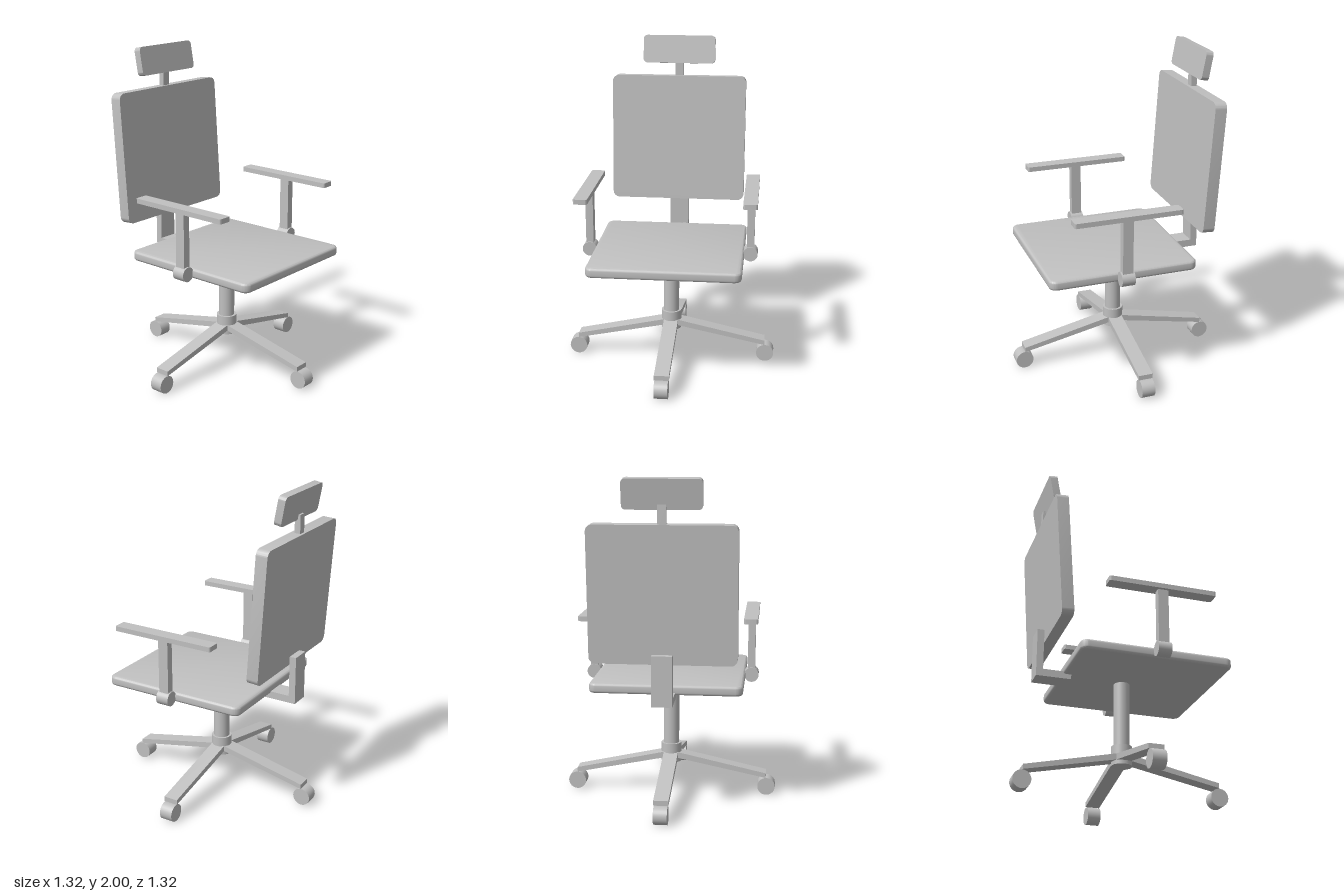
import * as THREE from 'three';
import { toCreasedNormals } from 'three/addons/utils/BufferGeometryUtils.js';

const grey = new THREE.MeshStandardMaterial({ color: 0xc0c0c0 });
grey.name = 'plain grey';

function add(parent, name, geometry, x = 0, y = 0, z = 0) {
  const mesh = new THREE.Mesh(geometry, grey);
  mesh.name = name;
  mesh.position.set(x, y, z);
  parent.add(mesh);
  return mesh;
}

// Slab with rounded corners in xy, thickness centred on z, optional soft rim
function slab(w, h, depth, radius, bevel = 0) {
  const x = w / 2 - bevel, y = h / 2 - bevel, r = radius - bevel;
  const s = new THREE.Shape();
  s.moveTo(-x + r, -y);
  s.lineTo(x - r, -y);
  s.absarc(x - r, -y + r, r, -Math.PI / 2, 0);
  s.absarc(x - r, y - r, r, 0, Math.PI / 2);
  s.absarc(-x + r, y - r, r, Math.PI / 2, Math.PI);
  s.absarc(-x + r, -y + r, r, Math.PI, Math.PI * 1.5);
  const g = new THREE.ExtrudeGeometry(s, {
    depth: depth - 2 * bevel, curveSegments: 8, bevelEnabled: bevel > 0,
    bevelSize: bevel, bevelThickness: bevel, bevelSegments: 4,
  });
  g.translate(0, 0, -depth / 2 + bevel);
  return toCreasedNormals(g, 0.6);
}

// Side profile in xy, extruded symmetrically about z
function profile(points, width) {
  const s = new THREE.Shape(points.map(([x, y]) => new THREE.Vector2(x, y)));
  return new THREE.ExtrudeGeometry(s, { depth: width, bevelEnabled: false })
    .translate(0, 0, -width / 2);
}

export function createModel() {
  const chair = new THREE.Group();
  chair.name = 'officeChair';

  // Four-legged base with casters
  const base = new THREE.Group();
  base.name = 'base';
  chair.add(base);
  const legShape = profile([[0, 0.235], [0.6, 0.113], [0.6, 0.143], [0, 0.273]], 0.09);
  const wheel = new THREE.CylinderGeometry(0.055, 0.055, 0.082, 32).rotateX(Math.PI / 2);
  for (let i = 0; i < 4; i++) {
    const arm = new THREE.Group();
    arm.name = 'leg' + (i + 1);
    arm.rotation.y = i * Math.PI / 2;
    base.add(arm);
    add(arm, 'legBeam', legShape);
    add(arm, 'caster', wheel, 0.603, 0.056, 0);
  }
  add(base, 'hub', new THREE.CylinderGeometry(0.063, 0.063, 0.12, 32), 0, 0.26, 0);
  add(base, 'column', new THREE.CylinderGeometry(0.049, 0.049, 0.43, 32), 0, 0.515, 0);

  // Seat
  add(chair, 'seat', slab(0.92, 0.924, 0.06, 0.045, 0.016).rotateX(-Math.PI / 2), 0, 0.75, 0.078);

  // Armrests, mirrored
  for (const side of [1, -1]) {
    const rest = new THREE.Group();
    rest.name = side > 0 ? 'leftArmrest' : 'rightArmrest';
    chair.add(rest);
    const x = side * 0.498;
    add(rest, 'armPivot', new THREE.CylinderGeometry(0.045, 0.045, 0.082, 32).rotateX(Math.PI / 2), x, 0.755, 0.088);
    add(rest, 'armPost', new THREE.BoxGeometry(0.046, 0.36, 0.064), x, 0.955, 0.087);
    add(rest, 'armPad', slab(0.084, 0.66, 0.03, 0.01).rotateX(-Math.PI / 2), x, 1.145, 0.083);
  }

  // L-shaped bracket carrying the back
  const bracket = profile([
    [0.335, 0.69], [0.55, 0.69], [0.55, 0.99], [0.508, 0.99], [0.508, 0.735], [0.335, 0.735],
  ], 0.122).rotateY(Math.PI / 2);
  add(chair, 'backBracket', bracket);

  // Reclined backrest and headrest
  const back = add(chair, 'backrest', slab(0.864, 0.81, 0.073, 0.04), 0, 1.335, -0.486);
  back.rotation.x = -0.067;
  add(chair, 'headrestPost', new THREE.BoxGeometry(0.05, 0.15, 0.036), 0, 1.775, -0.517);
  const head = add(chair, 'headrest', slab(0.46, 0.176, 0.046, 0.025), 0, 1.909, -0.509);
  head.rotation.x = -0.18;

  return chair;
}
